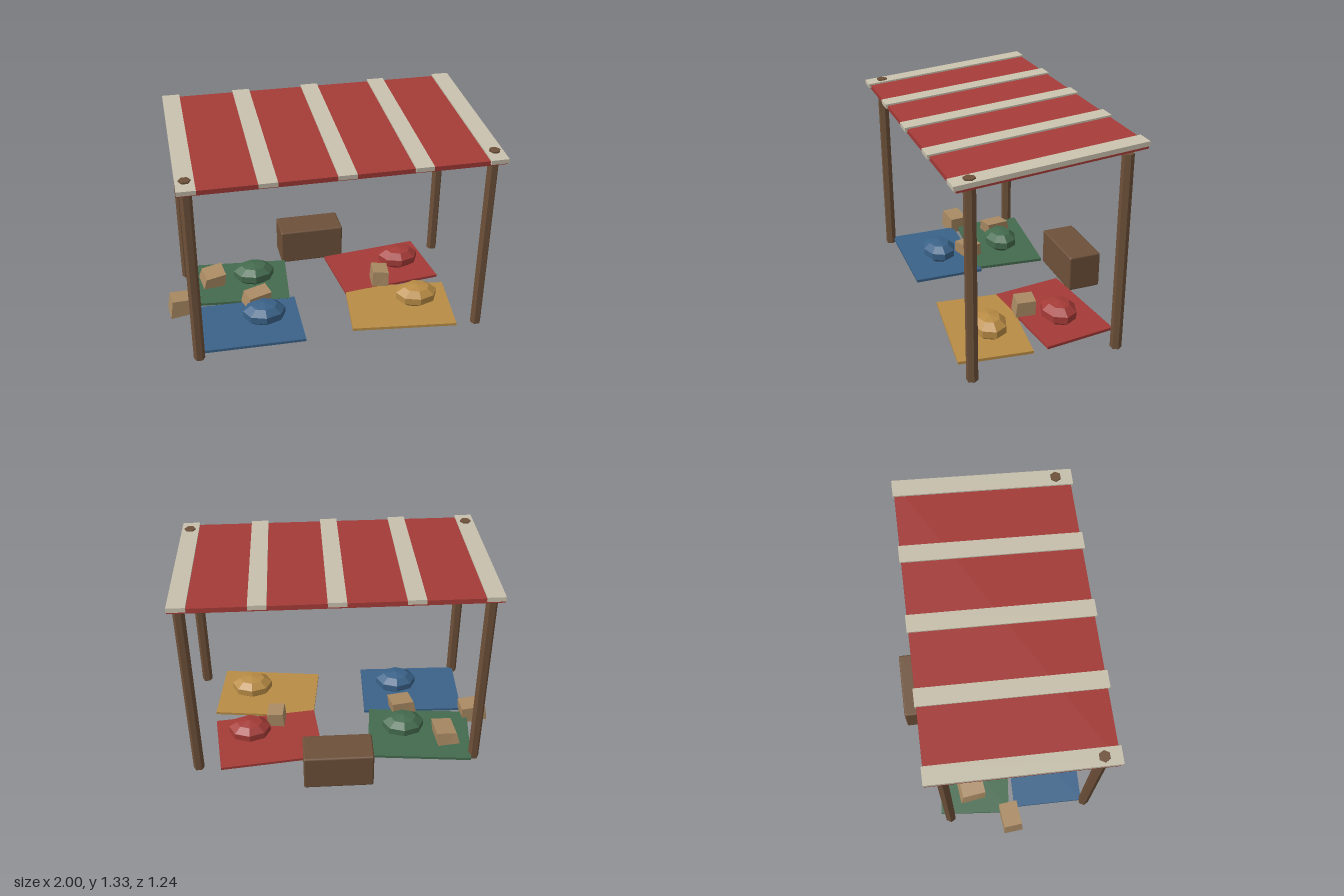
import * as THREE from 'three';
import { RoundedBoxGeometry } from 'three/addons/geometries/RoundedBoxGeometry.js';

const paint = (name, color) => {
  const m = new THREE.MeshStandardMaterial({ color });
  m.name = name;
  return m;
};

// Faceted normals for low-poly parts
function facet(geometry) {
  const g = geometry.index ? geometry.toNonIndexed() : geometry;
  g.computeVertexNormals();
  return g;
}

// Rough stone: a box whose top is tapered, sheared and sloped
function stoneGeometry([w, h, d], { taper, shearX, shearZ, slope }) {
  const g = new THREE.BoxGeometry(w, h, d);
  const p = g.attributes.position;
  for (let i = 0; i < p.count; i++) {
    const x = p.getX(i), y = p.getY(i), z = p.getZ(i);
    if (y > 0) {
      p.setXYZ(i, x * taper + shearX, y + slope * x, z * taper + shearZ);
    } else {
      p.setXYZ(i, x, y + (x * z > 0 ? 0.012 : 0), z);
    }
  }
  return facet(g);
}

export function createModel() {
  const group = new THREE.Group();
  const red = paint('red cloth', 0xa43b37);
  const cream = paint('cream cloth', 0xc8c1ad);
  const wood = paint('dark wood', 0x6d5039);
  const yellow = paint('ochre cloth', 0xb98c45);
  const blue = paint('blue cloth', 0x3a6288);
  const green = paint('green cloth', 0x446b4e);
  const stone = paint('tan stone', 0xa98a63);

  const add = (name, geometry, material, x, y, z, parent = group) => {
    const mesh = new THREE.Mesh(geometry, material);
    mesh.name = name;
    mesh.position.set(x, y, z);
    parent.add(mesh);
    return mesh;
  };

  // Four hexagonal posts
  const postGeometry = facet(new THREE.CylinderGeometry(0.035, 0.035, 1.245, 6).rotateY(Math.PI / 6));
  for (const x of [-0.845, 0.942]) {
    for (const z of [0.517, -0.39]) add('post', postGeometry, wood, x, 0.6375, z);
  }

  // Sloping canopy with five raised stripes
  const canopy = new THREE.Group();
  canopy.name = 'canopy';
  canopy.position.set(0.0475, 1.263, 0.061);
  canopy.rotation.x = 0.08;
  group.add(canopy);
  add('canopyCloth', new THREE.BoxGeometry(1.893, 0.03, 1.092), red, 0, 0, 0, canopy);
  const stripeGeometry = new THREE.BoxGeometry(0.108, 0.028, 1.115);
  for (let i = -2; i <= 2; i++) {
    add('canopyStripe', stripeGeometry, cream, i * 0.4465, 0.0115, 0.002, canopy);
  }

  // Rugs, each with a faceted cushion
  const rugGeometry = new THREE.BoxGeometry(0.67, 0.018, 0.455);
  const cushionGeometry = facet(new THREE.SphereGeometry(1, 8, 5).scale(0.143, 0.073, 0.113));
  const seats = [
    { mat: blue, rug: [-0.505, 0.278], turn: -0.02, cushion: [-0.403, 0.285] },
    { mat: green, rug: [-0.51, -0.19], turn: -0.1, cushion: [-0.403, -0.17] },
    { mat: yellow, rug: [0.495, 0.288], turn: -0.12, cushion: [0.605, 0.292] },
    { mat: red, rug: [0.49, -0.18], turn: 0.11, cushion: [0.612, -0.163] },
  ];
  seats.forEach(({ mat, rug, turn, cushion }, i) => {
    // tiny height steps keep overlapping rugs apart
    add('rug', rugGeometry, mat, rug[0], 0.038 + (i % 2) * 0.001, rug[1]).rotation.y = turn;
    add('cushion', cushionGeometry, mat, cushion[0], 0.127, cushion[1]);
  });

  // Crate at the back
  add('crate', new RoundedBoxGeometry(0.44, 0.245, 0.22, 2, 0.012), wood, 0.049, 0.138, -0.51);

  // Scattered stones
  const stones = [
    { at: [-0.91, 0.066, 0.01], size: [0.17, 0.122, 0.125], turn: 0.1, shape: { taper: 0.95, shearX: 0.015, shearZ: 0, slope: -0.05 } },
    { at: [-0.695, 0.067, -0.24], size: [0.15, 0.13, 0.17], turn: 0.12, shape: { taper: 0.9, shearX: 0.022, shearZ: 0.02, slope: 0.12 } },
    { at: [-0.435, 0.07, 0.065], size: [0.16, 0.13, 0.12], turn: 0.25, shape: { taper: 0.95, shearX: 0.02, shearZ: 0.01, slope: 0.08 } },
    { at: [0.435, 0.08, 0], size: [0.115, 0.14, 0.13], turn: -0.12, shape: { taper: 0.92, shearX: 0.005, shearZ: -0.01, slope: -0.08 } },
  ];
  for (const { at, size, turn, shape } of stones) {
    add('stone', stoneGeometry(size, shape), stone, ...at).rotation.y = turn;
  }

  return group;
}
